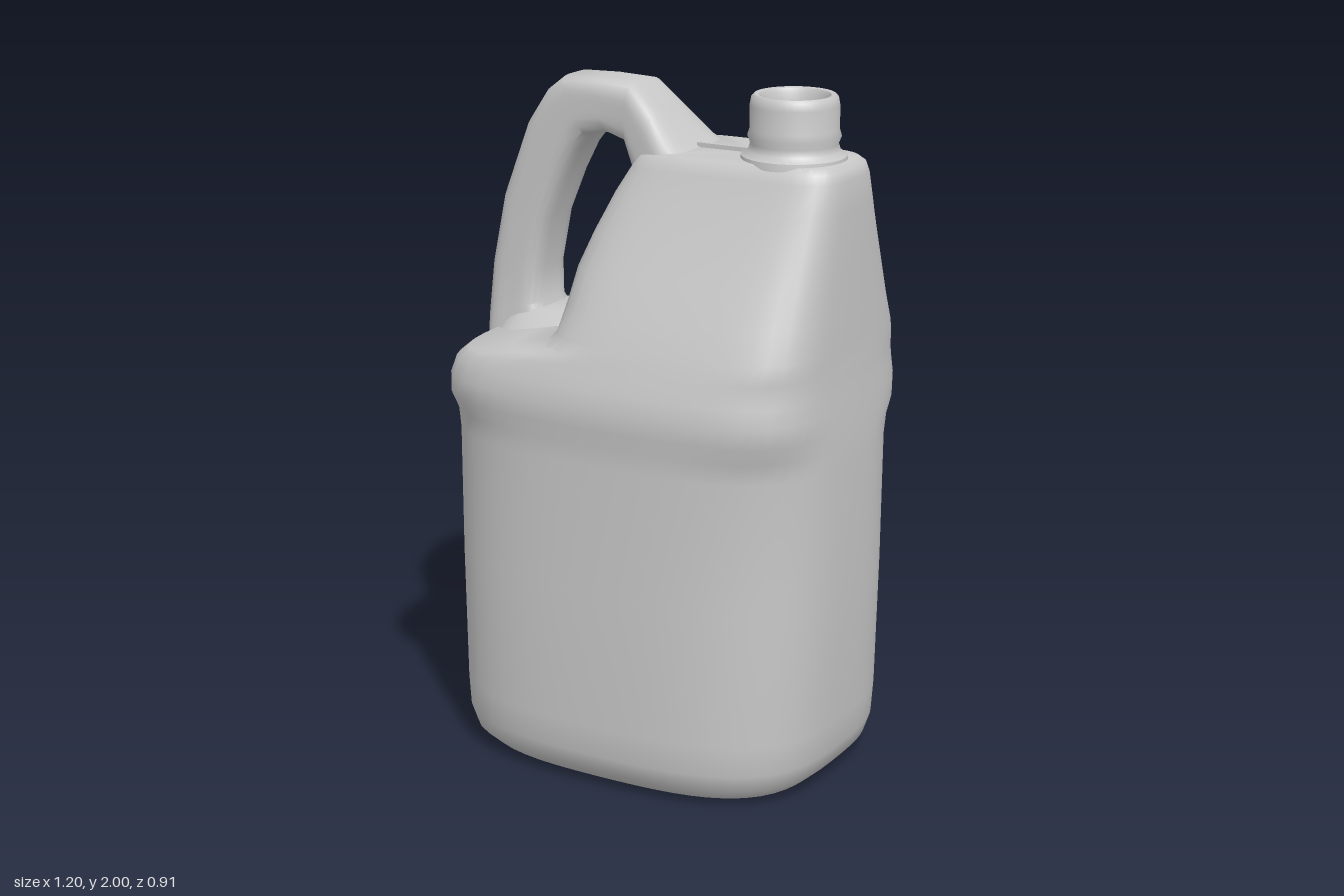
import * as THREE from 'three';
import { toCreasedNormals } from 'three/addons/utils/BufferGeometryUtils.js';

// Skin a list of closed rings (arrays of [x, y, z]) with outward-facing quads.
function loft(rings, crease = 0.7) {
  const n = rings[0].length, index = [];
  for (let j = 0; j < rings.length - 1; j++) {
    for (let i = 0; i < n; i++) {
      const k = (i + 1) % n;
      const a = j * n + i, b = j * n + k, c = a + n, d = b + n;
      index.push(a, c, b, b, c, d);
    }
  }
  const geo = new THREE.BufferGeometry();
  geo.setAttribute('position', new THREE.Float32BufferAttribute(rings.flat(2), 3));
  geo.setIndex(index);
  return toCreasedNormals(geo, crease);
}

// Unit rounded square, evenly spaced by angle; a larger power gives tighter corners.
function roundedSquare(segments, power) {
  return Array.from({ length: segments }, (_, i) => {
    const t = (i / segments) * Math.PI * 2, c = Math.cos(t), s = Math.sin(t);
    const r = (Math.abs(c) ** power + Math.abs(s) ** power) ** (-1 / power);
    return [r * c, r * s];
  });
}

// Body sections: height, left end, right end, half depth, corner power
const BODY = [
  [0.02, -0.01, 0.01, 0.01, 4],
  [0.005, -0.46, 0.46, 0.34, 4],
  [0.02, -0.52, 0.52, 0.4, 4],
  [0.055, -0.565, 0.56, 0.435, 4],
  [0.11, -0.583, 0.578, 0.452, 4],
  [0.2, -0.59, 0.585, 0.454, 4],
  [0.6, -0.6, 0.597, 0.45, 4],
  [0.98, -0.6, 0.6, 0.44, 4.2],
  [1.04, -0.597, 0.6, 0.441, 4.6],
  [1.09, -0.595, 0.598, 0.449, 6.2],
  [1.15, -0.59, 0.596, 0.451, 6.5],
  [1.2, -0.573, 0.593, 0.438, 6.5],
  [1.235, -0.53, 0.592, 0.427, 6.5],
  [1.265, -0.36, 0.591, 0.417, 6.5],
  [1.285, -0.25, 0.59, 0.41, 6.5],
  [1.32, -0.215, 0.59, 0.397, 6.5],
  [1.4, -0.2, 0.588, 0.363, 6],
  [1.5, -0.185, 0.587, 0.315, 6],
  [1.6, -0.15, 0.585, 0.267, 6],
  [1.7, -0.105, 0.583, 0.222, 6],
  [1.78, -0.06, 0.58, 0.187, 6],
  [1.807, -0.04, 0.572, 0.177, 6],
  [1.823, -0.01, 0.55, 0.16, 6],
  [1.825, 0.26, 0.27, 0.005, 6],
];

function bodyRing([y, left, right, depth, power]) {
  const mid = (left + right) / 2, half = (right - left) / 2;
  return roundedSquare(72, power).map(([u, v]) => {
    const x = mid + half * u * (1 - 0.04 * v * v);
    return [x, y, depth * v * (1 - 0.13 * (x / 0.6) ** 2)]; // bowed front and back
  });
}

// Handle sections: outer x, y, inner x, y, half width
const HANDLE = [
  [0.13, 1.81, 0.08, 1.6, 0.18],
  [0.07, 1.85, 0.0, 1.66, 0.155],
  [0.0, 1.925, -0.06, 1.74, 0.12],
  [-0.08, 1.995, -0.1, 1.825, 0.1],
  [-0.2, 2.0, -0.165, 1.845, 0.095],
  [-0.31, 1.997, -0.235, 1.83, 0.095],
  [-0.365, 1.955, -0.268, 1.79, 0.095],
  [-0.43, 1.86, -0.315, 1.7, 0.095],
  [-0.515, 1.64, -0.37, 1.57, 0.095],
  [-0.56, 1.43, -0.4, 1.42, 0.095],
  [-0.577, 1.27, -0.4, 1.32, 0.1],
  [-0.58, 1.15, -0.33, 1.22, 0.12],
];

function handleRing([ox, oy, ix, iy, width]) {
  const mx = (ox + ix) / 2, my = (oy + iy) / 2;
  return roundedSquare(32, 4.5).map(([u, v]) =>
    [mx + (u * (ox - ix)) / 2, my + (u * (oy - iy)) / 2, width * v]);
}

export function createModel() {
  const model = new THREE.Group();
  model.name = 'jug';
  const plastic = new THREE.MeshStandardMaterial({ color: 0xc8c8c8 });
  plastic.name = 'grey plastic';

  const add = (name, geometry, x = 0, y = 0, z = 0) => {
    const mesh = new THREE.Mesh(geometry, plastic);
    mesh.name = name;
    mesh.position.set(x, y, z);
    model.add(mesh);
  };

  add('body', loft(BODY.map(bodyRing)));
  add('handle', loft(HANDLE.map(handleRing)), 0, 0, 0.01);

  // Low mound where the handle foot meets the shelf
  const foot = [[1.2, 0.2, 0.2], [1.26, 0.17, 0.15], [1.285, 0.15, 0.12], [1.305, 0.11, 0.09], [1.306, 0.005, 0.005]];
  add('handleFoot', loft(foot.map(([y, a, b]) =>
    roundedSquare(32, 3).map(([u, v]) => [a * u, y, b * v]))), -0.35, 0, 0.01);

  // Neck with collar, bead, rolled lip and recessed seal
  const neck = [
    [0.15, 1.81], [0.147, 1.832], [0.128, 1.845], [0.122, 1.865], [0.13, 1.885],
    [0.124, 1.905], [0.124, 1.97], [0.12, 1.992], [0.112, 2.0], [0.1, 1.998],
    [0.093, 1.985], [0.09, 1.95], [0, 1.95],
  ].map(([r, y]) => new THREE.Vector2(r, y));
  add('neck', toCreasedNormals(new THREE.LatheGeometry(neck, 40), 0.8), 0.4, 0, 0.015);

  // Mould seam between handle and neck
  add('topSeam', new THREE.BoxGeometry(0.18, 0.03, 0.014), 0.19, 1.822, 0.022);

  return model;
}
